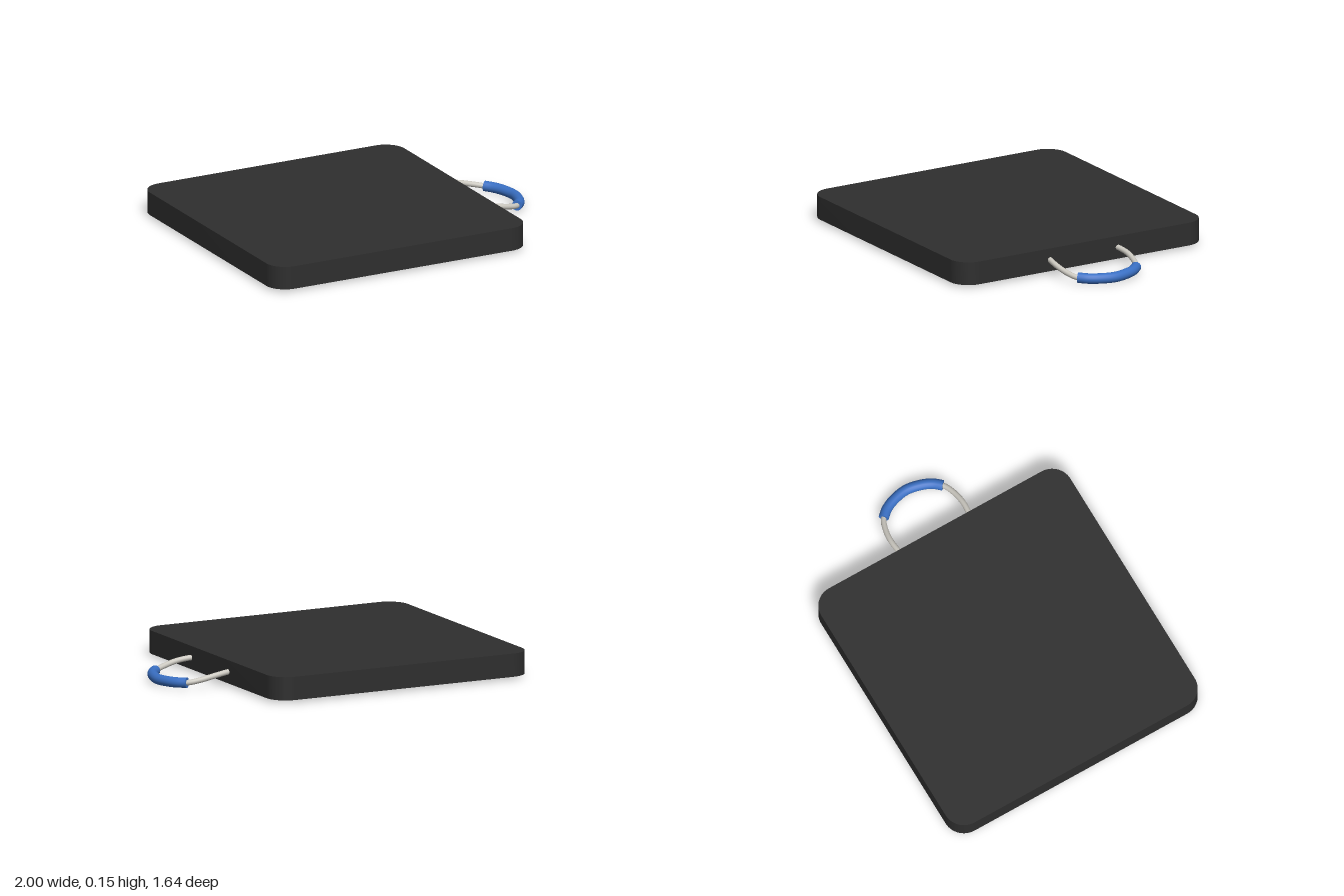
import * as THREE from 'three';
import { toCreasedNormals } from 'three/addons/utils/BufferGeometryUtils.js';

const padBlack = new THREE.MeshStandardMaterial({ name: 'padBlack', color: 0x2e2e2e });
const ropeGrey = new THREE.MeshStandardMaterial({ name: 'ropeGrey', color: 0xcbc8c0 });
const gripBlue = new THREE.MeshStandardMaterial({ name: 'gripBlue', color: 0x3a70c4 });

// Square slab with rounded corners, lying flat
function makePad(half, corner, height) {
  const s = new THREE.Shape();
  const c = half - corner;
  s.absarc(c, c, corner, 0, Math.PI / 2);
  s.absarc(-c, c, corner, Math.PI / 2, Math.PI);
  s.absarc(-c, -c, corner, Math.PI, Math.PI * 1.5);
  s.absarc(c, -c, corner, Math.PI * 1.5, Math.PI * 2);
  s.closePath();
  const geo = new THREE.ExtrudeGeometry(s, { depth: height, bevelEnabled: false, curveSegments: 12 });
  geo.rotateX(-Math.PI / 2);
  return new THREE.Mesh(toCreasedNormals(geo, 0.6), padBlack);
}

// Round tube along a curve with flat end caps
function makeTube(name, curve, radius, material) {
  const group = new THREE.Group();
  group.name = name;
  group.add(new THREE.Mesh(new THREE.TubeGeometry(curve, 48, radius, 16), material));
  for (const [t, sign] of [[0, -1], [1, 1]]) {
    const cap = new THREE.Mesh(new THREE.CircleGeometry(radius, 16), material);
    cap.name = name + 'End';
    cap.position.copy(curve.getPointAt(t));
    cap.lookAt(cap.position.clone().addScaledVector(curve.getTangentAt(t), sign));
    group.add(cap);
  }
  return group;
}

// Smooth curve through a half path, mirrored across z = 0
function mirroredCurve(half) {
  const front = half.map(([x, y, z]) => new THREE.Vector3(x, y, z));
  const back = half.slice(0, -1).reverse().map(([x, y, z]) => new THREE.Vector3(x, y, -z));
  return new THREE.CatmullRomCurve3([...front, ...back]);
}

export function createModel() {
  const model = new THREE.Group();
  model.name = 'outriggerPad';

  const pad = makePad(0.82, 0.12, 0.135);
  pad.name = 'pad';
  pad.position.set(-0.18, 0.015, 0);
  model.add(pad);

  // Rope loop leaving the pad's side and sagging outward
  const rope = mirroredCurve([
    [0.6, 0.084, 0.218], [0.65, 0.081, 0.229], [0.73, 0.07, 0.236], [0.82, 0.05, 0.223],
    [0.888, 0.036, 0.193], [0.947, 0.032, 0.105], [0.97, 0.031, 0],
  ]);
  model.add(makeTube('ropeHandle', rope, 0.016, ropeGrey));

  // Sleeve around the middle of the rope
  const grip = mirroredCurve([
    [0.886, 0.037, 0.195], [0.923, 0.034, 0.153], [0.951, 0.032, 0.095], [0.97, 0.03, 0],
  ]);
  model.add(makeTube('handleGrip', grip, 0.03, gripBlue));

  return model;
}
